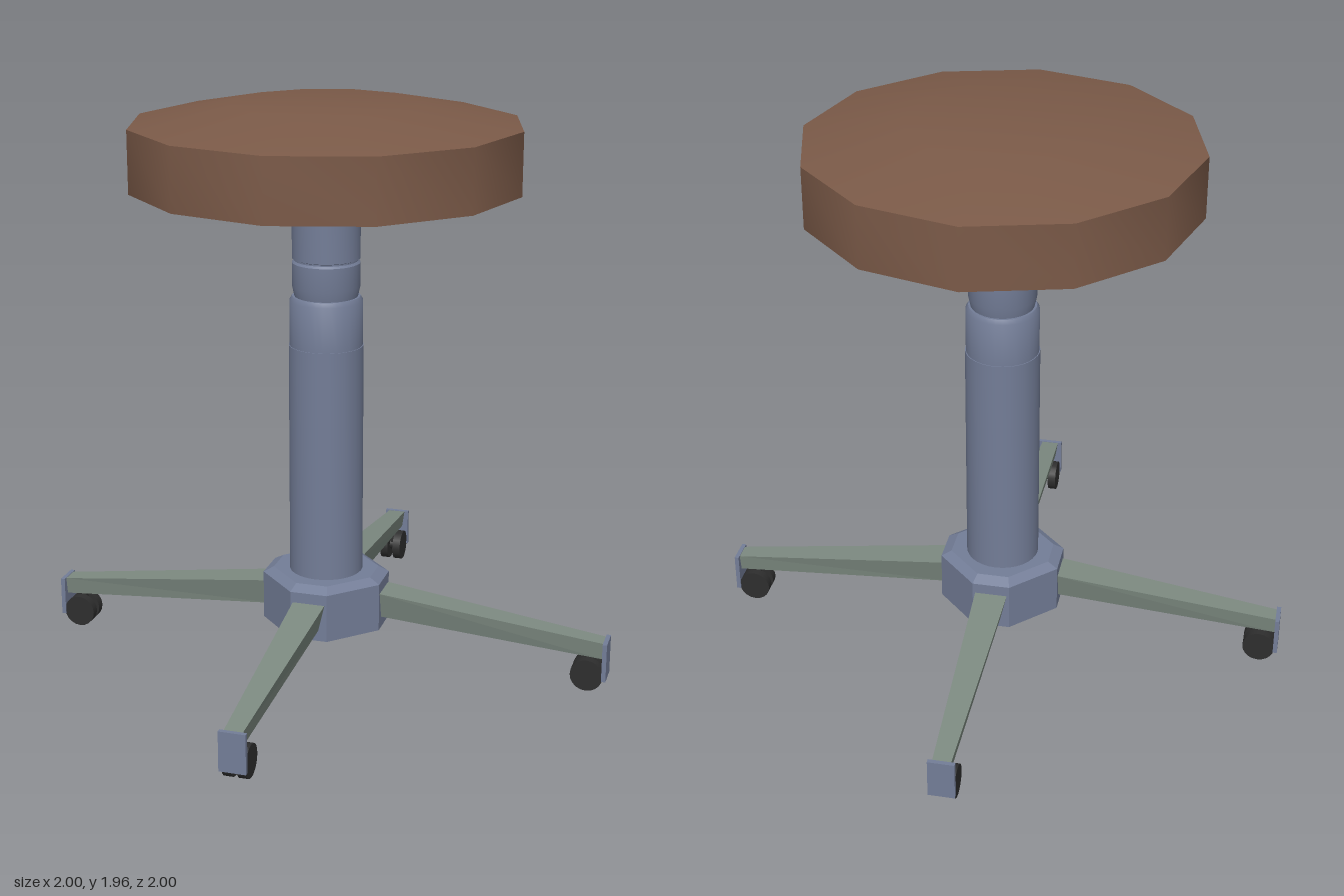
import * as THREE from 'three';
import { toCreasedNormals } from 'three/addons/utils/BufferGeometryUtils.js';

const material = (name, color) => {
  const m = new THREE.MeshStandardMaterial({ color });
  m.name = name;
  return m;
};

const mesh = (name, geometry, mat) => {
  const m = new THREE.Mesh(geometry, mat);
  m.name = name;
  return m;
};

// Turned part: profile of [radius, y] from bottom to top, smooth round, sharp edges
const turned = (profile, sides) =>
  toCreasedNormals(new THREE.LatheGeometry(profile.map(([r, y]) => new THREE.Vector2(r, y)), sides), 0.6);

// Flat-sided solid through convex rings, each counter-clockwise about the loft direction
function loft(rings) {
  const n = rings[0].length;
  const last = rings.length - 1;
  const position = [];
  const tri = (a, b, c) => position.push(...a, ...b, ...c);
  for (let i = 0; i < last; i++) {
    for (let j = 0; j < n; j++) {
      const k = (j + 1) % n;
      tri(rings[i][j], rings[i][k], rings[i + 1][k]);
      tri(rings[i][j], rings[i + 1][k], rings[i + 1][j]);
    }
  }
  for (let j = 1; j < n - 1; j++) {
    tri(rings[0][0], rings[0][j + 1], rings[0][j]);
    tri(rings[last][0], rings[last][j], rings[last][j + 1]);
  }
  const g = new THREE.BufferGeometry();
  g.setAttribute('position', new THREE.Float32BufferAttribute(position, 3));
  g.computeVertexNormals();
  return g;
}

// Horizontal ring with cut corners: half width w, half length f of the axis faces
const octagon = (w, f, y) =>
  [[-f, w], [f, w], [w, f], [w, -f], [f, -w], [-f, -w], [-w, -f], [-w, f]].map(([x, z]) => [x, y, z]);

const square = (w, y) => [[-w, y, w], [w, y, w], [w, y, -w], [-w, y, -w]];

// Upright trapezoid section of a leg
const legSection = (bottom, top, low, high, z) =>
  [[-bottom, low, z], [bottom, low, z], [top, high, z], [-top, high, z]];

export function createModel() {
  const leather = material('brown leather', 0x7b5a48);
  const steel = material('blue grey steel', 0x737d97);
  const legPaint = material('green grey paint', 0x7d8a81);
  const rubber = material('black rubber', 0x2e2e2e);

  const model = new THREE.Group();
  model.name = 'stool';

  // Twelve-sided cushion and the tapered plate below it
  model.add(mesh('seat', turned([[0, 1.68], [0.655, 1.68], [0.655, 1.89], [0.32, 1.955], [0, 1.955]], 12), leather));
  model.add(mesh('seatPlate', loft([square(0.23, 1.66), square(0.28, 1.685)]), leather));

  // Telescopic column
  model.add(mesh('lowerColumn', turned([
    [0, 0.3], [0.127, 0.3], [0.127, 1.14], [0.124, 1.14], [0.124, 1.295], [0.115, 1.31], [0, 1.31],
  ], 32), steel));
  model.add(mesh('columnCollar', turned([
    [0, 1.3], [0.105, 1.3], [0.115, 1.345], [0.115, 1.425], [0.109, 1.432], [0, 1.432],
  ], 32), steel));
  model.add(mesh('upperColumn', turned([
    [0, 1.42], [0.108, 1.42], [0.108, 1.437], [0.115, 1.44], [0.115, 1.67], [0, 1.67],
  ], 32), steel));

  // Hub with bevelled top
  model.add(mesh('hub', loft([octagon(0.21, 0.065, 0.14), octagon(0.21, 0.065, 0.31), octagon(0.175, 0.055, 0.33)]), steel));

  // Four tapering legs, each with an end plate and a twin caster
  const legGeometry = loft([legSection(0.035, 0.057, 0.18, 0.275, 0.19), legSection(0.022, 0.031, 0.115, 0.176, 0.988)]);
  const endGeometry = new THREE.BoxGeometry(0.09, 0.136, 0.015).translate(0, 0.11, 0.9925);
  const wheelGeometry = new THREE.CylinderGeometry(0.056, 0.056, 0.03, 20).rotateZ(Math.PI / 2);
  const axleGeometry = new THREE.CylinderGeometry(0.02, 0.02, 0.03, 10).rotateZ(Math.PI / 2);
  const stemGeometry = new THREE.BoxGeometry(0.016, 0.08, 0.03);
  for (let i = 0; i < 4; i++) {
    const leg = new THREE.Group();
    leg.name = 'leg';
    leg.add(mesh('legBar', legGeometry, legPaint), mesh('endPlate', endGeometry, steel));
    for (const side of [-1, 1]) {
      const wheel = mesh('casterWheel', wheelGeometry, rubber);
      wheel.position.set(side * 0.025, 0.056, 0.933);
      leg.add(wheel);
    }
    const axle = mesh('casterAxle', axleGeometry, rubber);
    axle.position.set(0, 0.056, 0.933);
    const stem = mesh('casterStem', stemGeometry, rubber);
    stem.position.set(0, 0.09, 0.933);
    leg.add(axle, stem);
    leg.rotation.y = (i * Math.PI) / 2;
    model.add(leg);
  }
  return model;
}
